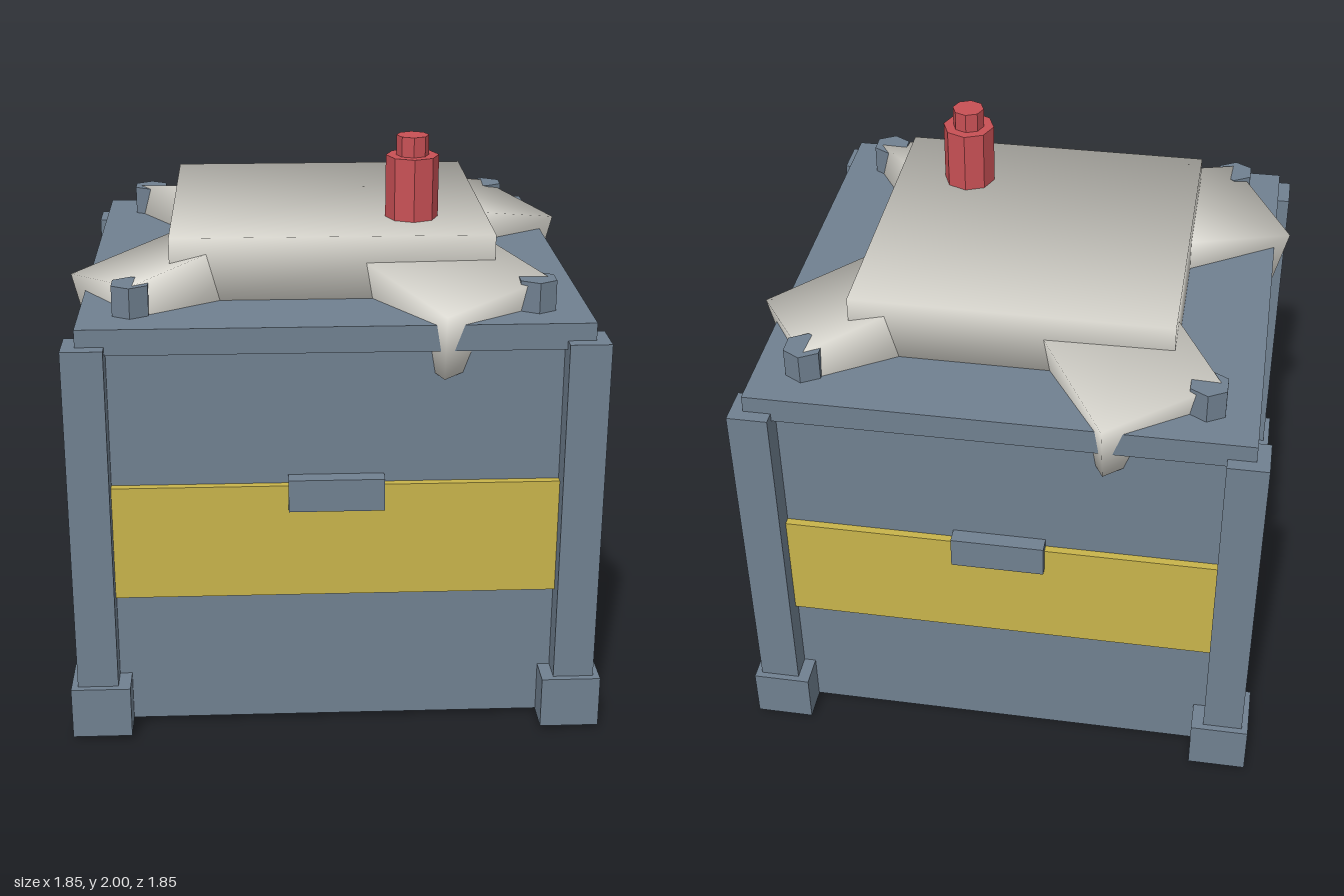
import * as THREE from 'three';

const mat = (name, color) => Object.assign(new THREE.MeshStandardMaterial({ color }), { name });

// Box from y0 to y1 at (x, z), named by part
function block(parent, name, material, w, d, y0, y1, x = 0, z = 0) {
  const mesh = new THREE.Mesh(new THREE.BoxGeometry(w, y1 - y0, d), material);
  mesh.position.set(x, (y0 + y1) / 2, z);
  mesh.name = name;
  parent.add(mesh);
  return mesh;
}

// Faceted prism with flat sides
function prism(parent, name, material, r, sides, y0, y1, x, z) {
  const geo = new THREE.CylinderGeometry(r, r, y1 - y0, sides).toNonIndexed();
  geo.computeVertexNormals();
  const mesh = new THREE.Mesh(geo, material);
  mesh.position.set(x, (y0 + y1) / 2, z);
  mesh.name = name;
  parent.add(mesh);
}

// Box whose corner normals are averaged, for soft pillow-like shading
function softBox(w, h, d) {
  const geo = new THREE.BoxGeometry(w, h, d);
  const p = geo.attributes.position, n = geo.attributes.normal, k = 1 / Math.sqrt(3);
  for (let i = 0; i < p.count; i++) {
    n.setXYZ(i, Math.sign(p.getX(i)) * k, Math.sign(p.getY(i)) * k, Math.sign(p.getZ(i)) * k);
  }
  return geo;
}

export function createModel() {
  const model = new THREE.Group();
  model.name = 'crate';
  const slate = mat('slate', 0x708090);
  const yellow = mat('yellow', 0xc8b44b);
  const cloth = mat('cloth', 0xdcdad2);
  const red = mat('red', 0xc85055);

  // Body and lid
  block(model, 'body', slate, 1.62, 1.62, 0.02, 1.42);
  block(model, 'lid', slate, 1.71, 1.71, 1.4, 1.49);

  // Corner posts, feet and lid bolts
  for (const sx of [-1, 1]) {
    for (const sz of [-1, 1]) {
      block(model, 'post', slate, 0.14, 0.14, 0, 1.43, sx * 0.83, sz * 0.83);
      block(model, 'foot', slate, 0.205, 0.205, 0.015, 0.2, sx * 0.82, sz * 0.82);
      prism(model, 'bolt', slate, 0.07, 6, 1.45, 1.595, sx * 0.68, sz * 0.68);
    }
  }

  // Tilted arm directions: out along the arm, across it, and up
  const out = new THREE.Vector3(0.56, -0.2, 0.83).normalize();
  const across = new THREE.Vector3(0.83, 0.15, -0.56);
  across.addScaledVector(out, -across.dot(out)).normalize();
  const up = new THREE.Vector3().crossVectors(out, across);
  const armGeo = softBox(0.44, 0.24, 0.55);
  armGeo.translate(0, -0.12, -0.275);
  armGeo.applyMatrix4(new THREE.Matrix4().makeBasis(across, up, out).setPosition(0.5375, 1.5625, 0.7925));

  // Each side: painted band, handle and one cushion arm
  for (let i = 0; i < 4; i++) {
    const side = new THREE.Group();
    side.name = 'side';
    side.rotation.y = (i * Math.PI) / 2;
    block(side, 'band', yellow, 1.53, 0.035, 0.51, 0.92, 0, 0.82);
    block(side, 'handle', slate, 0.325, 0.065, 0.835, 0.95, 0, 0.8325);
    const arm = new THREE.Mesh(armGeo, cloth);
    arm.name = 'cushionArm';
    side.add(arm);
    model.add(side);
  }

  // Central cushion
  const cushion = new THREE.Mesh(softBox(1.11, 0.24, 1.11), cloth);
  cushion.position.y = 1.59;
  cushion.name = 'cushion';
  model.add(cushion);

  // Red knob with a narrower tip
  prism(model, 'knob', red, 0.093, 8, 1.69, 1.93, 0.29, 0.29);
  prism(model, 'knobTip', red, 0.057, 8, 1.92, 2.0, 0.29, 0.29);
  return model;
}
